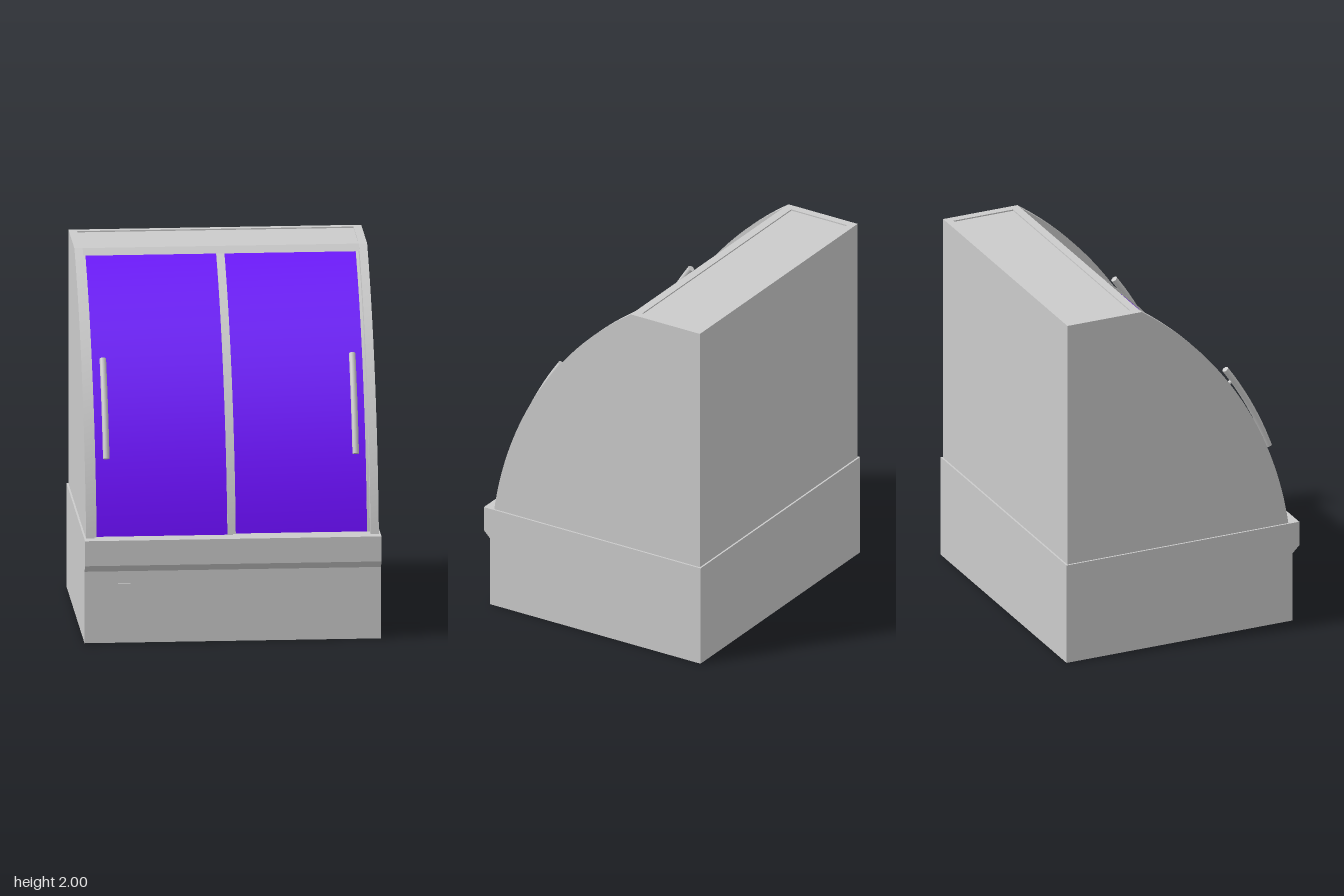
import * as THREE from 'three';
import { toCreasedNormals } from 'three/addons/utils/BufferGeometryUtils.js';

const grey = new THREE.MeshStandardMaterial({ color: 0xcccccc, side: THREE.DoubleSide });
const purple = new THREE.MeshStandardMaterial({ color: 0x6d0dff, side: THREE.DoubleSide });

// The curved front is an arc in the z-y plane around this centre
const CZ = -1.42, CY = 0.285, R = 2.08;
const BASE_TOP = 0.58, TOP = 2, BACK = -0.69;
const arcZ = (r, y) => CZ + Math.sqrt(r * r - (y - CY) ** 2);

function arcPoints(r, y0, y1, n = 28) {
  const pts = [];
  for (let i = 0; i <= n; i++) {
    const y = y0 + (y1 - y0) * i / n;
    pts.push(new THREE.Vector2(arcZ(r, y), y));
  }
  return pts;
}

// Extrudes a (z, y) outline across the width from x0 to x1
function across(outline, x0, x1) {
  const geo = new THREE.ExtrudeGeometry(new THREE.Shape(outline), { depth: x1 - x0, bevelEnabled: false });
  geo.rotateY(-Math.PI / 2).translate(x1, 0, 0);
  return toCreasedNormals(geo, 0.5);
}

// A curved strip between two radii
const band = (rOut, rIn, x0, x1, y0 = BASE_TOP, y1 = 1.97) =>
  across([...arcPoints(rOut, y0, y1), ...arcPoints(rIn, y0, y1).reverse()], x0, x1);

// Removes the triangles that lie on the ground
function openBottom(geo) {
  const p = geo.attributes.position, keep = [];
  for (let i = 0; i < p.count; i += 3) {
    if (Math.max(p.getY(i), p.getY(i + 1), p.getY(i + 2)) > 0.001) keep.push(i, i + 1, i + 2);
  }
  geo.setIndex(keep);
  return geo.toNonIndexed();
}

function box(x0, x1, y0, y1, z0, z1) {
  return new THREE.BoxGeometry(x1 - x0, y1 - y0, z1 - z0)
    .translate((x0 + x1) / 2, (y0 + y1) / 2, (z0 + z1) / 2);
}

function add(parent, name, geo, mat = grey) {
  const mesh = new THREE.Mesh(geo, mat);
  mesh.name = name;
  parent.add(mesh);
  return mesh;
}

// Curved bar on two pegs
function makeHandle(name, x, r, glassR) {
  const group = new THREE.Group();
  group.name = name;
  const path = new THREE.CatmullRomCurve3(
    arcPoints(r, 1.01, 1.51, 6).map(p => new THREE.Vector3(x, p.y, p.x)));
  add(group, 'handleBar', new THREE.TubeGeometry(path, 12, 0.018, 12));
  for (const t of [0, 1]) {
    const end = path.getPoint(t), dir = path.getTangent(t).multiplyScalar(t ? 1 : -1);
    const cap = add(group, 'handleEnd', new THREE.CircleGeometry(0.018, 12));
    cap.position.copy(end);
    cap.quaternion.setFromUnitVectors(new THREE.Vector3(0, 0, 1), dir);
  }
  for (const y of [1.08, 1.44]) {
    const outer = new THREE.Vector3(x, y, arcZ(r, y));
    const dir = new THREE.Vector3(0, y - CY, outer.z - CZ).normalize();
    const length = r - glassR;
    const peg = add(group, 'handlePeg', new THREE.CylinderGeometry(0.011, 0.011, length, 10));
    peg.position.copy(outer).addScaledVector(dir, -length / 2);
    peg.quaternion.setFromUnitVectors(new THREE.Vector3(0, 1, 0), dir);
  }
  return group;
}

export function createModel() {
  const model = new THREE.Group();
  model.name = 'displayCase';
  const v = (z, y) => new THREE.Vector2(z, y);

  // Hollow base with an overhanging front lip
  const baseOutline = [v(-0.7, 0), v(0.66, 0), v(0.66, 0.4), v(0.7, 0.44), v(0.7, BASE_TOP), v(-0.7, BASE_TOP)];
  add(model, 'base', openBottom(across(baseOutline, -0.81, 0.81)));
  add(model, 'basePlate', box(-0.72, -0.505, 0.18, 0.33, 0.655, 0.665));

  // Cabinet shell: curved sides, back and slightly sunken top
  const sideOutline = [v(BACK, BASE_TOP), ...arcPoints(R, BASE_TOP, TOP), v(BACK, TOP)];
  for (const s of [-1, 1]) {
    const [a, b] = [0.755 * s, 0.8 * s];
    add(model, s > 0 ? 'leftSide' : 'rightSide', across(sideOutline, Math.min(a, b), Math.max(a, b)));
  }
  add(model, 'backPanel', box(-0.755, 0.755, BASE_TOP, TOP, BACK, BACK + 0.04));
  add(model, 'topPanel', box(-0.755, 0.755, 1.965, 1.993, BACK + 0.04, -0.28));

  // Rail above the doors
  const railOutline = [v(-0.29, 1.965), v(-0.21, 1.965), v(-0.243, TOP), v(-0.29, TOP)];
  add(model, 'topRail', across(railOutline, -0.755, 0.755));

  // Two sliding doors, one running in front of the other
  const doors = [
    { name: 'rightDoor', r: 2.04, x0: -0.755, x1: 0.005, in0: 0.015, in1: 0.03, handleX: -0.685 },
    { name: 'leftDoor', r: 2.015, x0: -0.01, x1: 0.755, in0: 0.032, in1: 0.015, handleX: 0.68 },
  ];
  for (const d of doors) {
    const door = new THREE.Group();
    door.name = d.name;
    add(door, 'pane', band(d.r, d.r - 0.01, d.x0 + d.in0, d.x1 - d.in1), purple);
    add(door, 'stile', band(d.r + 0.01, d.r - 0.015, d.x0, d.x0 + d.in0));
    add(door, 'stile', band(d.r + 0.01, d.r - 0.015, d.x1 - d.in1, d.x1));
    door.add(makeHandle('handle', d.handleX, d.r + 0.082, d.r));
    model.add(door);
  }
  return model;
}
